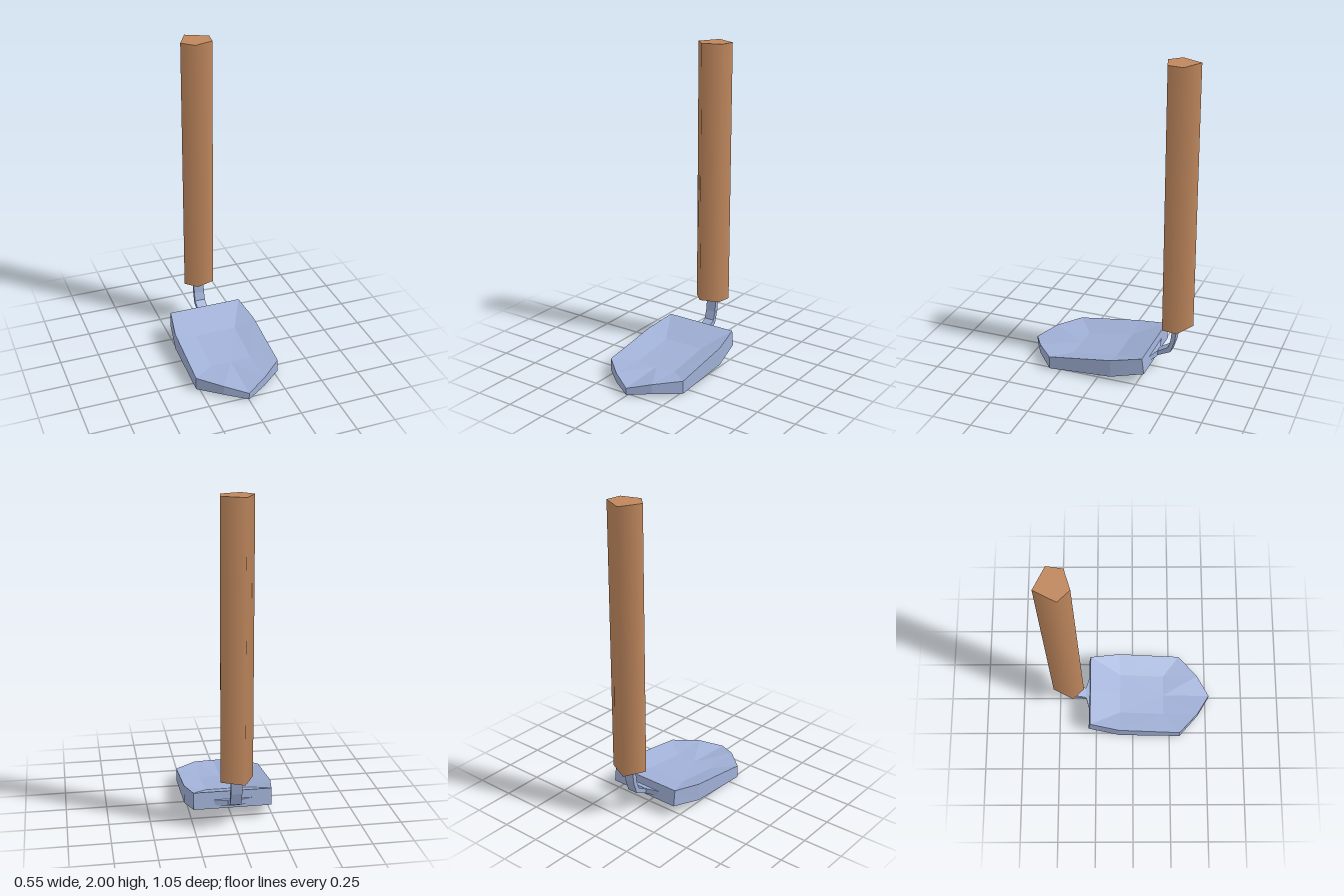
import * as THREE from 'three';

const wood = new THREE.MeshStandardMaterial({ color: 0xbf875d });
wood.name = 'wood';
const steel = new THREE.MeshStandardMaterial({ color: 0xa0b0d6 });
steel.name = 'steel';

function addMesh(group, name, geometry, material) {
  const mesh = new THREE.Mesh(geometry, material);
  mesh.name = name;
  group.add(mesh);
}

// Irregular five-sided grip with softly shaded sides
function handleGeometry() {
  const corners = [[-0.035, -0.325], [0.087, -0.363], [0.102, -0.46], [-0.035, -0.527], [-0.104, -0.395]];
  const centreZ = -0.425, start = -0.33, step = Math.PI * 2 / 5;
  const g = new THREE.CylinderGeometry(1, 1, 1.68, 5, 1, false, start);
  const p = g.attributes.position, n = g.attributes.normal;
  for (let i = 0; i < p.count; i++) {
    const x = p.getX(i), z = p.getZ(i), y = p.getY(i) + 1.16;
    if (Math.hypot(x, z) < 0.01) { p.setXYZ(i, 0, y, centreZ); continue; }
    const k = (Math.round((Math.atan2(x, z) - start) / step) + 5) % 5;
    const [cx, cz] = corners[k];
    p.setXYZ(i, cx, y, cz);
    if (Math.abs(n.getY(i)) < 0.5) {
      const r = Math.hypot(cx, cz - centreZ);
      n.setXYZ(i, cx / r, 0, (cz - centreZ) / r);
    }
  }
  return g;
}

// Dished, pointed blade: one half is described, then mirrored
function bladeGeometry() {
  // back centre, back corner, shoulder, front corner, tip side, tip, then inner points
  const top = [
    [0, 0.185, -0.287], [0.24, 0.185, -0.287], [0.273, 0.15, -0.09], [0.273, 0.09, 0.32], [0.135, 0.08, 0.445], [0, 0.05, 0.525],
    [0.135, 0.11, -0.085], [0.135, 0.07, 0.21], [0, 0.067, 0.21], [0, 0.11, -0.085],
  ];
  const bottom = [
    [0, 0.08, -0.3], [0.24, 0.08, -0.3], [0.273, 0.035, -0.09], [0.273, 0.007, 0.32], [0.135, 0.018, 0.445], [0, 0.005, 0.525],
    [0.135, 0.03, -0.085], [0.135, 0, 0.21], [0, 0, 0.21], [0, 0.03, -0.085],
  ];
  const faces = [[1, 0, 9, 6], [1, 6, 2], [2, 6, 7, 3], [6, 9, 8, 7], [3, 7, 4], [4, 7, 8], [4, 8, 5]];
  const out = [];
  const face = (pts) => {
    for (let i = 1; i < pts.length - 1; i++) {
      const tri = [pts[0], pts[i], pts[i + 1]];
      for (const v of tri) out.push(...v);
      for (const [x, y, z] of tri.reverse()) out.push(-x, y, z);
    }
  };
  for (const f of faces) {
    face(f.map((i) => top[i]));
    face(f.map((i) => bottom[i]).reverse());
  }
  for (let i = 0; i < 5; i++) face([top[i], top[i + 1], bottom[i + 1], bottom[i]]);
  const g = new THREE.BufferGeometry();
  g.setAttribute('position', new THREE.Float32BufferAttribute(out, 3));
  g.computeVertexNormals();
  return g;
}

function extrude(points, depth) {
  const shape = new THREE.Shape(points.map(([a, b]) => new THREE.Vector2(a, b)));
  return new THREE.ExtrudeGeometry(shape, { depth, bevelEnabled: false }).translate(0, 0, -depth / 2);
}

export function createModel() {
  const trowel = new THREE.Group();
  trowel.name = 'trowel';

  addMesh(trowel, 'handle', handleGeometry(), wood);
  addMesh(trowel, 'blade', bladeGeometry(), steel);

  // Bent strap, profile in z and y
  const neck = extrude([
    [-0.305, 0.105], [-0.32, 0.105], [-0.405, 0.145], [-0.43, 0.225], [-0.443, 0.34],
    [-0.415, 0.34], [-0.402, 0.225], [-0.385, 0.172], [-0.32, 0.133], [-0.305, 0.133],
  ].reverse(), 0.068);
  addMesh(trowel, 'neck', neck.rotateY(-Math.PI / 2), steel);

  // Tapered root joining the strap to the blade, outline in x and z
  const root = extrude([[-0.12, -0.293], [-0.035, -0.318], [0.035, -0.318], [0.12, -0.293]], 0.034);
  addMesh(trowel, 'neckRoot', root.rotateX(Math.PI / 2).translate(0, 0.118, 0), steel);

  return trowel;
}
